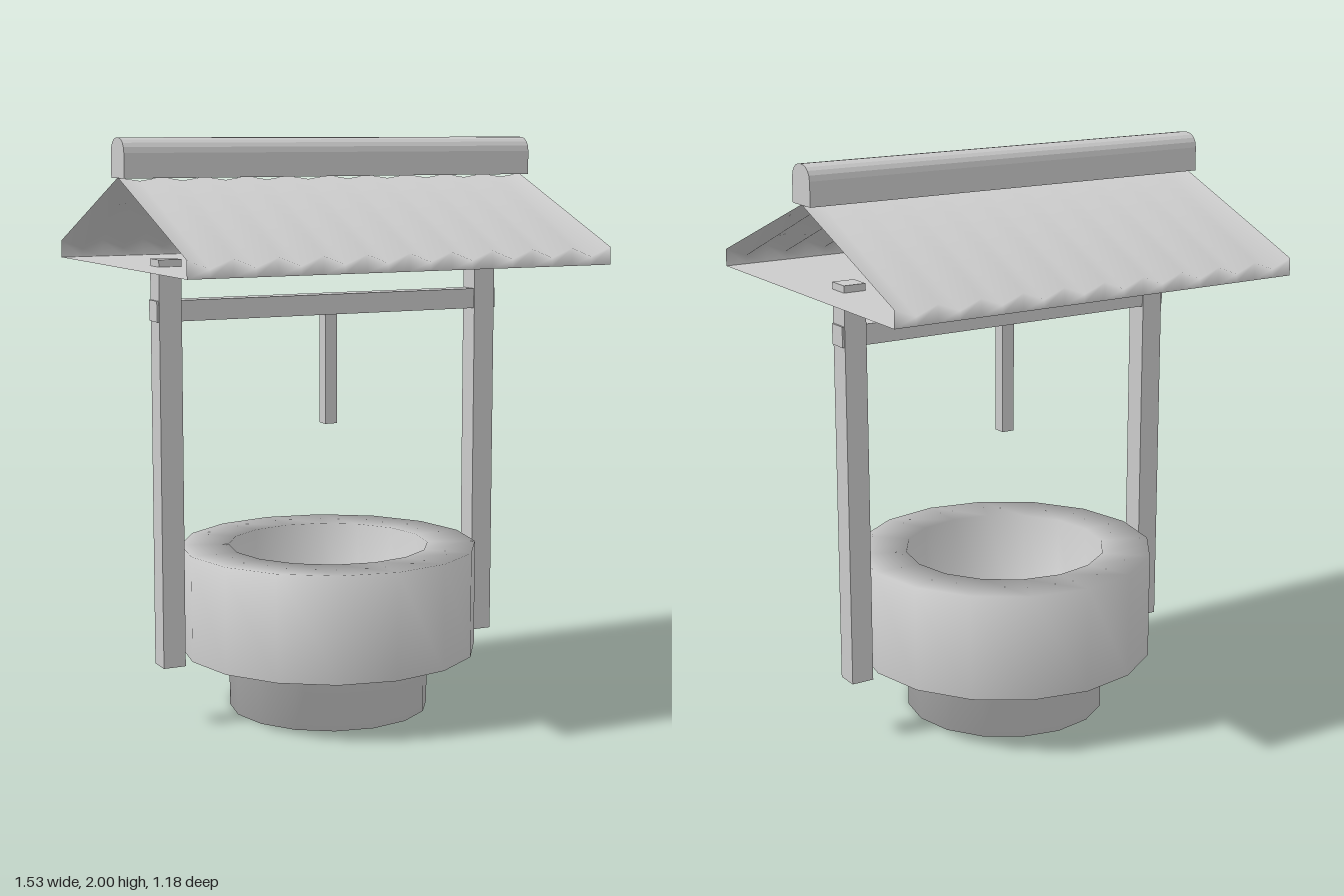
import * as THREE from 'three';

const grey = () => new THREE.MeshStandardMaterial({ color: 0xcccccc, side: THREE.DoubleSide });

function add(group, name, geometry, x = 0, y = 0, z = 0) {
  const mesh = new THREE.Mesh(geometry, grey());
  mesh.name = name;
  mesh.position.set(x, y, z);
  group.add(mesh);
  return mesh;
}

// Box given by its bottom and top heights
function addBox(group, name, width, bottom, top, depth, x = 0) {
  return add(group, name, new THREE.BoxGeometry(width, top - bottom, depth), x, (bottom + top) / 2);
}

// Corrugated roof skin with a straight fascia under each eave, open at the gables
function roofGeometry(halfLength, halfDepth, waves) {
  const columns = waves * 2, rows = 5;
  const positions = [], index = [];
  for (let i = 0; i <= columns; i++) {
    const x = -halfLength + (2 * halfLength * i) / columns;
    const low = i % 2;
    const eave = low ? 1.605 : 1.635;
    const ridge = low ? 1.858 : 1.87;
    positions.push(
      x, 1.576, halfDepth,
      x, eave, halfDepth,
      x, ridge, 0,
      x, eave, -halfDepth,
      x, 1.576, -halfDepth
    );
  }
  for (let i = 0; i < columns; i++) {
    for (let j = 0; j < rows - 1; j++) {
      const a = i * rows + j, b = a + rows;
      index.push(a, b, b + 1, a, b + 1, a + 1);
    }
  }
  const geometry = new THREE.BufferGeometry();
  geometry.setAttribute('position', new THREE.Float32BufferAttribute(positions, 3));
  geometry.setIndex(index);
  geometry.computeVertexNormals();
  return geometry;
}

// Ridge cap with a rounded top, running along x
function ridgeCapGeometry(halfLength) {
  const shape = new THREE.Shape();
  shape.moveTo(-0.061, 1.868);
  shape.lineTo(0.061, 1.868);
  shape.lineTo(0.061, 1.95);
  shape.bezierCurveTo(0.058, 1.985, 0.035, 2, 0, 2);
  shape.bezierCurveTo(-0.035, 2, -0.058, 1.985, -0.061, 1.95);
  shape.closePath();
  const geometry = new THREE.ExtrudeGeometry(shape, {
    depth: halfLength * 2, bevelEnabled: false, curveSegments: 5
  });
  geometry.translate(0, 0, -halfLength);
  geometry.rotateY(Math.PI / 2);
  return geometry;
}

export function createModel() {
  const model = new THREE.Group();
  model.name = 'well';
  const halfLength = 0.767, halfDepth = 0.59;

  // Basin: outer wall, rim, then the shaft down to its floor
  const profile = [[0.522, 0.21], [0.522, 0.58], [0.352, 0.58], [0.352, 0], [0, 0]]
    .map(([r, y]) => new THREE.Vector2(r, y));
  add(model, 'basin', new THREE.LatheGeometry(profile, 16));

  // Posts either side
  for (const [side, name] of [[1, 'leftPost'], [-1, 'rightPost']]) {
    addBox(model, name, 0.08, 0.21, 1.6, 0.08, side * 0.603);
  }

  // Crossbeam and the rod hanging from it
  addBox(model, 'crossbeam', 1.3, 1.393, 1.463, 0.07);
  addBox(model, 'hangingRod', 0.046, 1.01, 1.4, 0.046);

  // Roof
  const roof = new THREE.Group();
  roof.name = 'roof';
  model.add(roof);
  add(roof, 'roofTiles', roofGeometry(halfLength, halfDepth, 10));
  const ceiling = new THREE.PlaneGeometry(halfLength * 2, halfDepth * 2);
  ceiling.rotateX(Math.PI / 2);
  add(roof, 'ceiling', ceiling, 0, 1.576, 0);
  add(roof, 'ridgeCap', ridgeCapGeometry(halfLength));

  return model;
}
